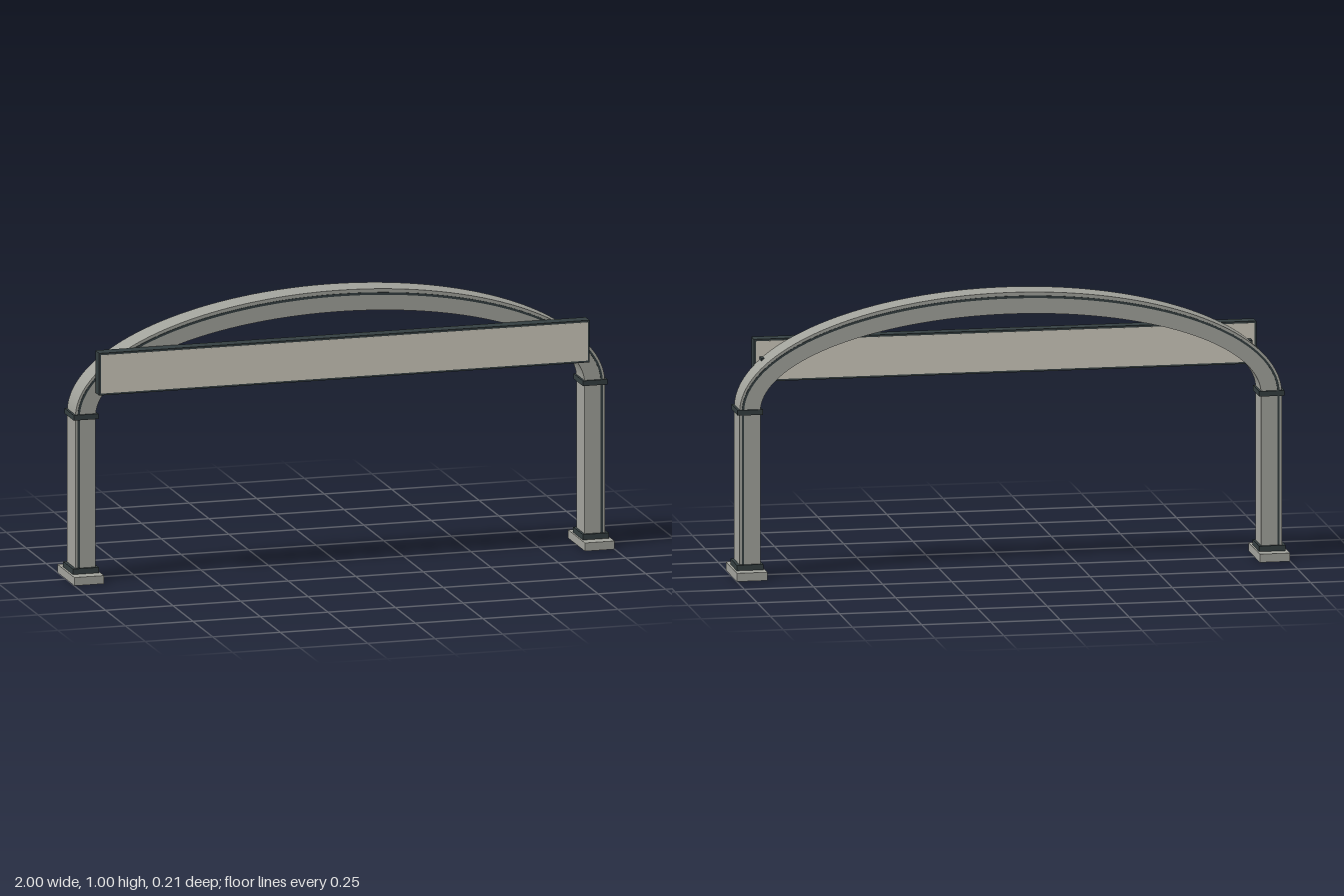
import * as THREE from 'three';
import { toCreasedNormals } from 'three/addons/utils/BufferGeometryUtils.js';

const steel = new THREE.MeshStandardMaterial({ color: 0xa1a29b });
steel.name = 'grey steel';
const dark = new THREE.MeshStandardMaterial({ color: 0x343e40 });
dark.name = 'dark trim';
const cream = new THREE.MeshStandardMaterial({ color: 0xcdc9bc });
cream.name = 'cream panel';

const SPRING = 0.6; // height where the arch meets the legs

function box(parent, name, material, x, y, z) {
  // each range is [min, max]
  const mesh = new THREE.Mesh(
    new THREE.BoxGeometry(x[1] - x[0], y[1] - y[0], z[1] - z[0]), material);
  mesh.position.set((x[0] + x[1]) / 2, (y[0] + y[1]) / 2, (z[0] + z[1]) / 2);
  mesh.name = name;
  parent.add(mesh);
  return mesh;
}

// Half-elliptical band between an outer and an inner ellipse
function archBand(parent, name, material, outer, inner, z) {
  const shape = new THREE.Shape();
  shape.absellipse(0, SPRING, outer[0], outer[1], 0, Math.PI, false);
  shape.lineTo(-inner[0], SPRING);
  shape.absellipse(0, SPRING, inner[0], inner[1], Math.PI, 0, true);
  shape.closePath();
  const geometry = new THREE.ExtrudeGeometry(shape, {
    depth: z[1] - z[0], bevelEnabled: false, curveSegments: 64,
  });
  geometry.translate(0, 0, z[0]);
  const mesh = new THREE.Mesh(toCreasedNormals(geometry, 0.5), material);
  mesh.name = name;
  parent.add(mesh);
}

export function createModel() {
  const model = new THREE.Group();
  model.name = 'archedGateway';

  // Arch with a dark line along both faces
  archBand(model, 'arch', steel, [0.98, 0.4], [0.905, 0.322], [-0.052, 0.052]);
  for (const z of [[0.051, 0.054], [-0.054, -0.051]]) {
    archBand(model, 'archStripe', dark, [0.972, 0.387], [0.964, 0.378], z);
  }

  // Legs with feet, collars and stripes
  for (const side of [1, -1]) {
    const leg = new THREE.Group();
    leg.name = side > 0 ? 'leftLeg' : 'rightLeg';
    const range = (a, b) => (side > 0 ? [a, b] : [-b, -a]);
    box(leg, 'foot', steel, range(0.89, 1), [0, 0.03], [-0.107, 0.107]);
    box(leg, 'footTrim', dark, range(0.896, 0.992), [0.03, 0.05], [-0.062, 0.062]);
    box(leg, 'post', steel, range(0.905, 0.98), [0.05, SPRING], [-0.052, 0.052]);
    box(leg, 'collar', dark, range(0.897, 0.988), [0.591, 0.61], [-0.059, 0.059]);
    box(leg, 'frontStripe', dark, range(0.964, 0.972), [0.05, 0.595], [0.051, 0.054]);
    box(leg, 'backStripe', dark, range(0.964, 0.972), [0.05, 0.595], [-0.054, -0.051]);
    // small mount holding the sign to the arch
    box(leg, 'signMount', dark, range(0.872, 0.888), [0.735, 0.779], [0.02, 0.058]);
    model.add(leg);
  }

  // Sign board: dark frame with a cream plate on both faces
  const sign = new THREE.Group();
  sign.name = 'signBoard';
  box(sign, 'signFrame', dark, [-0.908, 0.908], [0.688, 0.842], [0.057, 0.106]);
  box(sign, 'frontPanel', cream, [-0.901, 0.901], [0.695, 0.835], [0.104, 0.107]);
  box(sign, 'backPanel', cream, [-0.901, 0.901], [0.695, 0.835], [0.056, 0.059]);
  model.add(sign);

  return model;
}
